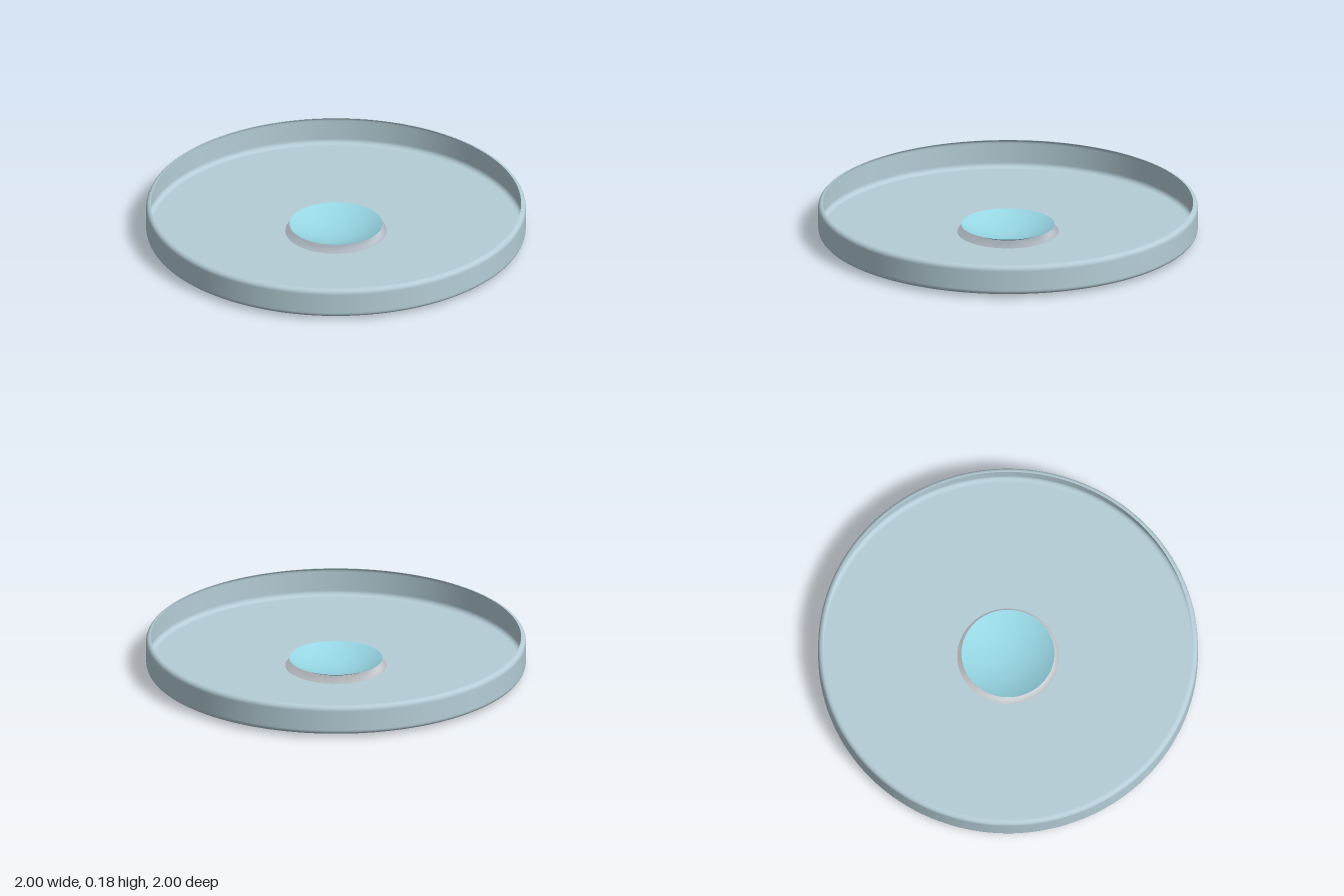
import * as THREE from 'three';

const SEGMENTS = 128;

// Points along a circular arc in the profile plane (x = radius, y = height).
function arc(cx, cy, r, from, to, steps) {
  return Array.from({ length: steps + 1 }, (_, i) => {
    const a = from + (to - from) * i / steps;
    return new THREE.Vector2(Math.max(0, cx + r * Math.cos(a)), cy + r * Math.sin(a));
  });
}

function lathe(name, points, material) {
  const mesh = new THREE.Mesh(new THREE.LatheGeometry(points, SEGMENTS), material);
  mesh.name = name;
  return mesh;
}

export function createModel() {
  const group = new THREE.Group();
  group.name = 'roundTray';

  const trayBlue = new THREE.MeshStandardMaterial({ color: 0xb5cdd7, side: THREE.DoubleSide });
  trayBlue.name = 'pale grey blue';
  const bowlBlue = new THREE.MeshStandardMaterial({ color: 0x97d6e3, side: THREE.DoubleSide });
  bowlBlue.name = 'light aqua';

  // Thin tray: floor with a central hole, rounded foot, upright wall, lip turned inward.
  const hole = 0.267, bottom = 0.018, top = 0.178, r = 0.025;
  const trayProfile = [
    new THREE.Vector2(hole, bottom),
    new THREE.Vector2(1 - r - 0.004, bottom), // keeps the floor shading flat
    ...arc(1 - r, bottom + r, r, -Math.PI / 2, 0, 8),
    new THREE.Vector2(1, bottom + r + 0.004),
    new THREE.Vector2(1, top - r - 0.004),
    ...arc(1 - r, top - r, r, 0, Math.PI / 2, 8),
  ];
  group.add(lathe('tray', trayProfile, trayBlue));

  // Shallow spherical bowl hanging in the hole.
  const rim = 0.245, depth = 0.059;
  const R = (rim * rim + depth * depth) / (2 * depth);
  const bowlProfile = arc(0, R, R, -Math.PI / 2, -Math.PI / 2 + Math.asin(rim / R), 16);
  group.add(lathe('centreBowl', bowlProfile, bowlBlue));

  return group;
}
